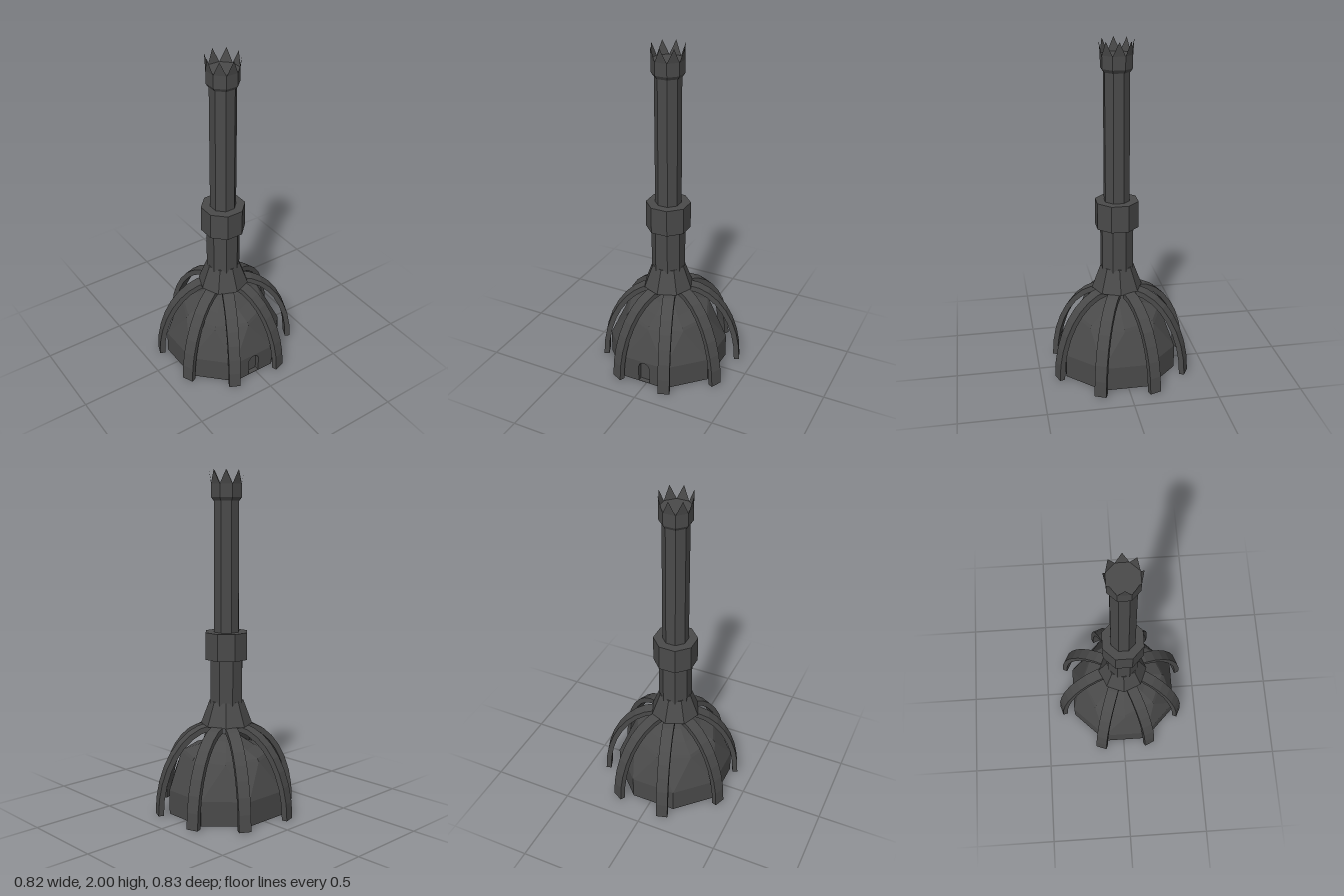
import * as THREE from 'three';

const CX = -0.017, CZ = 0.013; // tower axis
const FLAT = Math.PI / 8; // turns an octagon so a flat side faces front

export function createModel() {
  const model = new THREE.Group();
  const stone = new THREE.MeshStandardMaterial({ color: 0x4a4a4a, flatShading: true });
  stone.name = 'dark stone';
  const stoneDouble = stone.clone();
  stoneDouble.side = THREE.DoubleSide;
  const stoneInside = stone.clone();
  stoneInside.side = THREE.BackSide;

  const tower = new THREE.Group();
  tower.name = 'tower';
  tower.position.set(CX, 0, CZ);
  model.add(tower);

  const add = (name, geometry, material = stone, parent = tower) => {
    const mesh = new THREE.Mesh(geometry, material);
    mesh.name = name;
    parent.add(mesh);
    return mesh;
  };
  // eight-sided turned part, profile listed from bottom to top
  const turned = (name, profile, turn = FLAT) => {
    const points = profile.map(([r, y]) => new THREE.Vector2(r, y));
    return add(name, new THREE.LatheGeometry(points, 8).rotateY(turn));
  };
  const triangles = (corners) => {
    const g = new THREE.BufferGeometry();
    g.setAttribute('position', new THREE.Float32BufferAttribute(corners.flat(), 3));
    g.computeVertexNormals();
    return g;
  };
  const polar = (r, y, a) => [r * Math.sin(a), y, r * Math.cos(a)];

  // drum: seven plain walls, one front wall with an arched niche, and a floor
  const R = 0.36, H = 0.145, apothem = R * Math.cos(FLAT), half = R * Math.sin(FLAT);
  add('drumWalls', new THREE.CylinderGeometry(R, R, H, 7, 1, true, FLAT, Math.PI * 1.75).translate(0, H / 2, 0));
  add('drumFloor', new THREE.CircleGeometry(R, 8).rotateZ(FLAT).rotateX(Math.PI / 2).translate(0, 0.001, 0));

  const arch = (Type) => {
    const s = new Type();
    s.moveTo(-0.036, 0.002);
    s.lineTo(0.036, 0.002);
    s.lineTo(0.036, 0.1);
    s.absarc(0, 0.1, 0.036, 0, Math.PI, false);
    s.lineTo(-0.036, 0.002);
    return s;
  };
  const wall = new THREE.Shape();
  wall.moveTo(-half, 0);
  wall.lineTo(half, 0);
  wall.lineTo(half, H);
  wall.lineTo(-half, H);
  wall.holes.push(arch(THREE.Path));
  add('frontWall', new THREE.ShapeGeometry(wall, 5).translate(0, 0, apothem));
  add('doorNiche', new THREE.ExtrudeGeometry(arch(THREE.Shape), { depth: 0.03, bevelEnabled: false, curveSegments: 5 })
    .translate(0, 0, apothem - 0.03), stoneInside);

  // dome wall: lower and upper octagons turned against each other
  const facets = [];
  for (let i = 0; i < 8; i++) {
    const a = i * Math.PI / 4;
    const low0 = polar(R, H, a - FLAT), low1 = polar(R, H, a + FLAT);
    const top0 = polar(0.27, 0.34, a), top1 = polar(0.27, 0.34, a + Math.PI / 4);
    facets.push(low0, low1, top0, low1, top1, top0);
  }
  add('domeWall', triangles(facets));
  turned('domeRoof', [[0.27, 0.34], [0.258, 0.355], [0.17, 0.385], [0.1, 0.43], [0, 0.45]], 0);

  // stacked tower sections
  turned('flaredBase', [[0, 0.52], [0.152, 0.52], [0.1, 0.66], [0, 0.66]], 0);
  turned('lowerShaft', [[0.1, 0.62], [0.1, 0.92]]);
  turned('collar', [[0, 0.91], [0.131, 0.91], [0.131, 1.07], [0, 1.07]]);
  turned('upperShaft', [[0.077, 1.06], [0.077, 1.84]]);
  turned('crownBand', [[0, 1.825], [0.08, 1.825], [0.094, 1.845], [0.094, 1.92], [0, 1.92]]);

  // crown spikes, one leaning out from each side
  const spikes = [];
  for (let i = 0; i < 8; i++) {
    const a = i * Math.PI / 4;
    spikes.push(polar(0.094, 1.92, a - FLAT), polar(0.094, 1.92, a + FLAT), polar(0.1, 2, a));
  }
  add('crownSpikes', triangles(spikes), stoneDouble);

  // curved ribs: an elliptical band swept from the ground up to the flared base
  const ribs = new THREE.Group();
  ribs.name = 'ribs';
  model.add(ribs);
  const band = new THREE.Shape();
  const steps = 8, sweep = 1.5;
  const onArc = (a, b, t) => [0.08 + a * Math.cos(t), 0.005 + b * Math.sin(t)];
  for (let i = 0; i <= steps; i++) {
    const p = onArc(0.347, 0.523, sweep * i / steps);
    if (i === 0) band.moveTo(...p); else band.lineTo(...p);
  }
  for (let i = steps; i >= 0; i--) band.lineTo(...onArc(0.315, 0.49, sweep * i / steps));
  band.closePath();
  const ribGeometry = new THREE.ExtrudeGeometry(band, { depth: 0.07, bevelEnabled: false }).translate(0, 0, -0.035);
  for (const degrees of [20, 61, 106, 159, 204, 244.5, 289.5, 335]) {
    add('rib', ribGeometry, stone, ribs).rotation.y = THREE.MathUtils.degToRad(degrees);
  }

  return model;
}
